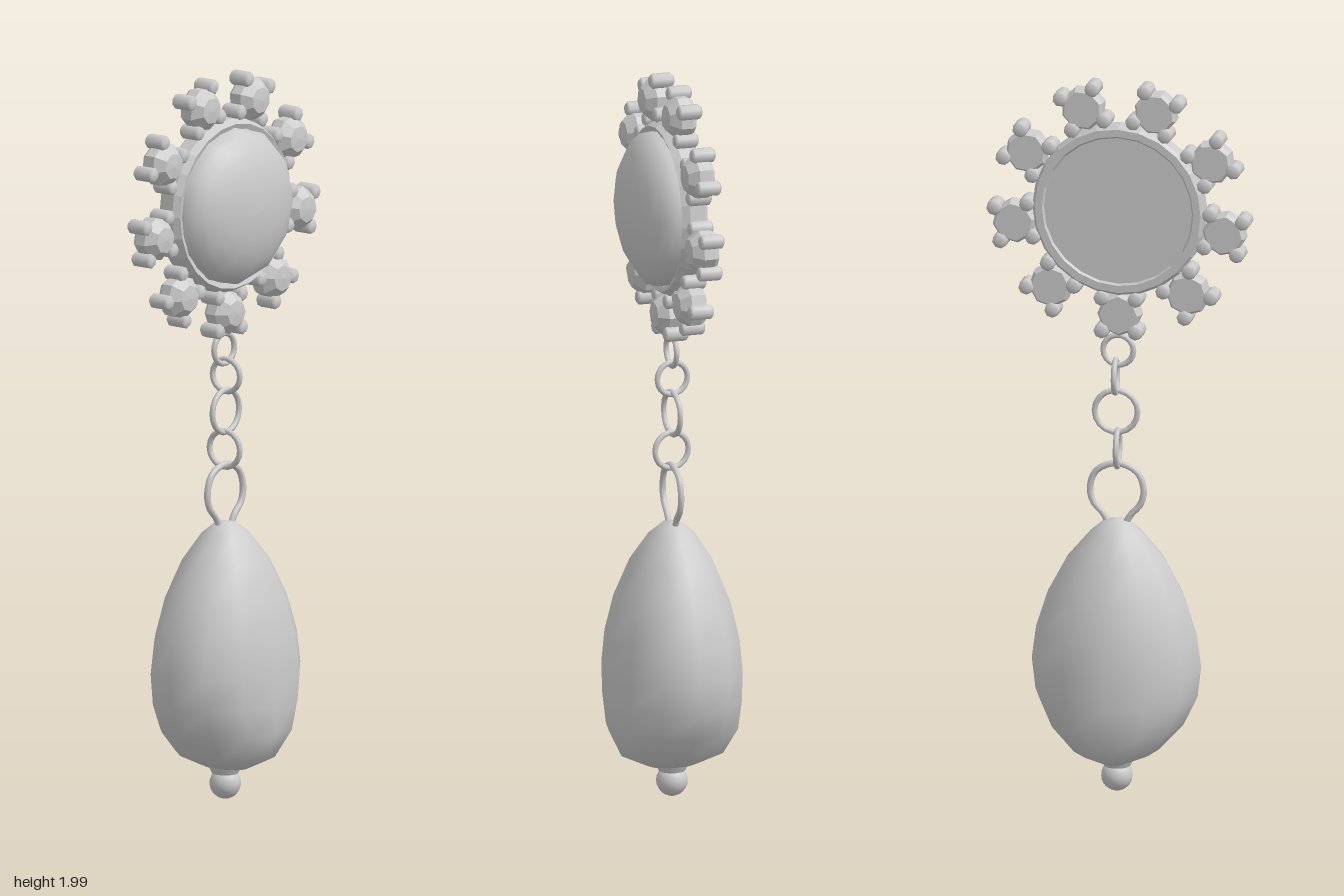
import * as THREE from 'three';

const smooth = new THREE.MeshStandardMaterial({ color: 0xcccccc, side: THREE.DoubleSide });
const faceted = new THREE.MeshStandardMaterial({ color: 0xcccccc, side: THREE.DoubleSide, flatShading: true });

function add(parent, name, geometry, material, x = 0, y = 0, z = 0) {
  const mesh = new THREE.Mesh(geometry, material);
  mesh.name = name;
  mesh.position.set(x, y, z);
  parent.add(mesh);
  return mesh;
}

// Lathe whose axis points to the front (+z); profile is [radius, z] from back to front
function frontLathe(profile, sides) {
  const points = profile.map(([r, z]) => new THREE.Vector2(r, z));
  return new THREE.LatheGeometry(points, sides).rotateX(Math.PI / 2);
}

// Elliptical loft; each section is [y, half width, half depth]
function pearDrop(sections, sides) {
  const positions = [], index = [];
  sections.forEach(([y, rx, rz], row) => {
    for (let i = 0; i < sides; i++) {
      const a = (i / sides) * Math.PI * 2;
      positions.push(rx * Math.sin(a), y, rz * Math.cos(a));
      if (row === 0) continue;
      const next = (i + 1) % sides;
      const a0 = (row - 1) * sides + i, a1 = (row - 1) * sides + next;
      const b0 = row * sides + i, b1 = row * sides + next;
      index.push(a0, a1, b1, a0, b1, b0);
    }
  });
  const geometry = new THREE.BufferGeometry();
  geometry.setAttribute('position', new THREE.Float32BufferAttribute(positions, 3));
  geometry.setIndex(index);
  geometry.computeVertexNormals();
  return geometry;
}

function createMedallion() {
  const medallion = new THREE.Group();
  medallion.name = 'medallion';

  // Bezel with a closed flat back, and the domed stone it holds
  add(medallion, 'bezel', frontLathe([
    [0, -0.024], [0.205, -0.024], [0.21, -0.03], [0.23, -0.03],
    [0.238, -0.02], [0.238, 0.022], [0.226, 0.042], [0.212, 0.036],
  ], 24), faceted);
  const dome = [];
  for (let i = 0; i <= 8; i++) {
    const a = (i / 8) * Math.PI / 2;
    dome.push([0.217 * Math.cos(a), 0.03 + 0.108 * Math.sin(a)]);
  }
  add(medallion, 'domeStone', frontLathe(dome, 12), smooth);

  // Nine small gems, each gripped by four prongs
  const gem = frontLathe([[0, -0.024], [0.052, -0.024], [0.06, -0.012], [0.06, 0.02], [0.036, 0.046], [0, 0.05]], 8);
  const prong = frontLathe([[0, -0.033], [0.014, -0.033], [0.021, -0.026], [0.021, 0.026], [0.014, 0.033], [0, 0.034]], 8);
  for (let i = 0; i < 9; i++) {
    const angle = (i / 9) * Math.PI * 2;
    const setting = new THREE.Group();
    setting.name = 'gemSetting';
    setting.position.set(0.295 * Math.sin(angle), -0.295 * Math.cos(angle), 0);
    setting.rotation.z = angle;
    add(setting, 'gem', gem, faceted);
    for (const sx of [-1, 1]) {
      for (const sy of [-1, 1]) add(setting, 'prong', prong, smooth, sx * 0.047, sy * 0.046);
    }
    medallion.add(setting);
  }
  medallion.position.set(0.004, 1.638, 0.003);
  medallion.rotation.y = 0.035;
  return medallion;
}

function createChain() {
  const chain = new THREE.Group();
  chain.name = 'chain';

  // Round links alternate between facing front and facing sideways: [x, y, radius, yaw]
  const links = [
    [0.008, 1.24, 0.042, 0.05],
    [0.016, 1.165, 0.045, Math.PI / 2 + 0.15],
    [0.014, 1.067, 0.059, 0.1],
    [0.01, 0.963, 0.05, Math.PI / 2 + 0.15],
  ];
  for (const [x, y, radius, yaw] of links) {
    add(chain, 'link', new THREE.TorusGeometry(radius, 0.008, 8, 18), smooth, x, y, 0).rotation.y = yaw;
  }

  // Open loop that narrows into the top of the drop
  const half = [[0.02, 0.74], [0.036, 0.775], [0.066, 0.81], [0.074, 0.85], [0.056, 0.898]];
  const path = [
    ...half.map(([x, y]) => new THREE.Vector3(-x, y, 0)),
    new THREE.Vector3(0, 0.921, 0),
    ...half.slice().reverse().map(([x, y]) => new THREE.Vector3(x, y, 0)),
  ];
  const loop = new THREE.TubeGeometry(new THREE.CatmullRomCurve3(path), 30, 0.009, 8, false);
  add(chain, 'hangingLoop', loop, smooth, 0.012, 0, 0).rotation.y = 0.05;
  return chain;
}

function createPendant() {
  const pendant = new THREE.Group();
  pendant.name = 'pendant';

  // Flattened pear-shaped drop
  add(pendant, 'drop', pearDrop([
    [0.086, 0, 0], [0.088, 0.045, 0.07], [0.122, 0.118, 0.145], [0.195, 0.185, 0.181],
    [0.275, 0.224, 0.185], [0.36, 0.234, 0.186], [0.45, 0.222, 0.178], [0.55, 0.19, 0.155],
    [0.655, 0.134, 0.113], [0.73, 0.07, 0.064], [0.76, 0.035, 0.028], [0.766, 0, 0],
  ], 12), smooth);

  // Collar and bead at the tip
  add(pendant, 'collar', new THREE.CylinderGeometry(0.046, 0.036, 0.02, 12), smooth, -0.002, 0.08, 0);
  add(pendant, 'bead', new THREE.SphereGeometry(0.043, 16, 12), smooth, -0.001, 0.043, 0);

  pendant.position.x = 0.013;
  pendant.rotation.y = 0.05;
  return pendant;
}

export function createModel() {
  const model = new THREE.Group();
  model.name = 'dropEarring';
  model.add(createMedallion(), createChain(), createPendant());
  return model;
}
